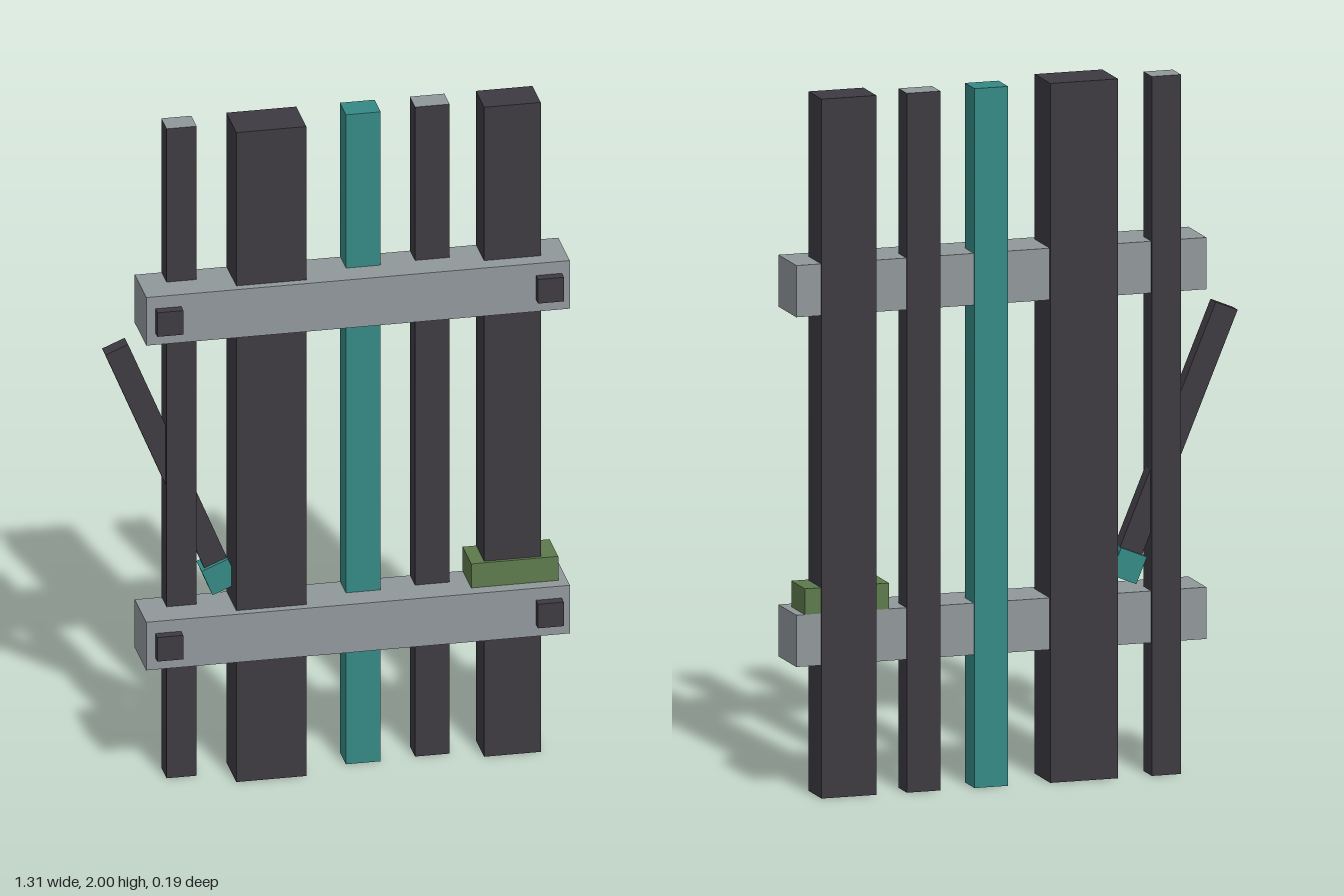
import * as THREE from 'three';

export function createModel() {
  const group = new THREE.Group();
  const mat = (name, color) => {
    const m = new THREE.MeshStandardMaterial({ color });
    m.name = name;
    return m;
  };
  const dark = mat('darkTimber', 0x3d3a41);
  const grey = mat('weatheredGrey', 0x90979a);
  const teal = mat('tealPaint', 0x358985);
  const moss = mat('mossGreen', 0x5e7a4d);

  // Box given by its minimum and maximum on each axis
  function box(name, material, [x0, x1], [y0, y1], [z0, z1]) {
    const mesh = new THREE.Mesh(new THREE.BoxGeometry(x1 - x0, y1 - y0, z1 - z0), material);
    mesh.position.set((x0 + x1) / 2, (y0 + y1) / 2, (z0 + z1) / 2);
    mesh.name = name;
    group.add(mesh);
    return mesh;
  }

  // Upright planks, two of them with a weathered top end (face order: +x -x +y -y +z -z)
  const greyTop = [dark, dark, grey, dark, dark, dark];
  const planks = [
    ['outerThinPlank', greyTop, [-0.483, -0.397], -0.023],
    ['widePlank', dark, [-0.297, -0.097], 0.042],
    ['tealPlank', teal, [0.028, 0.127], -0.012],
    ['innerThinPlank', greyTop, [0.228, 0.327], -0.023],
    ['thickPlank', dark, [0.417, 0.579], 0.018],
  ];
  for (const [name, material, x, front] of planks) box(name, material, x, [0, 2], [-0.095, front]);

  // Cross rails, each with two square bolts
  for (const [label, y] of [['lower', 0.454], ['upper', 1.454]]) {
    box(label + 'Rail', grey, [-0.56, 0.652], [y - 0.074, y + 0.074], [-0.09, 0.067]);
    for (const [side, x] of [['Right', -0.497], ['Left', 0.592]])
      box(label + side + 'Bolt', dark, [x - 0.037, x + 0.037], [y - 0.037, y + 0.037], [0.06, 0.095]);
  }

  // Moss lying on the lower rail
  box('mossPatch', moss, [0.378, 0.627], [0.52, 0.602], [-0.09, 0.028]);

  // Leaning stick with a teal tip
  const lean = 0.393;
  const stick = box('leaningStick', dark, [-0.035, 0.035], [-0.37, 0.37], [-0.082, -0.036]);
  stick.position.set(-0.481, 0.985, -0.059);
  stick.rotation.z = lean;
  const tip = box('stickTip', teal, [-0.041, 0.041], [-0.041, 0.041], [-0.095, -0.023]);
  tip.position.set(-0.329, 0.605, -0.059);
  tip.rotation.z = lean;

  return group;
}
